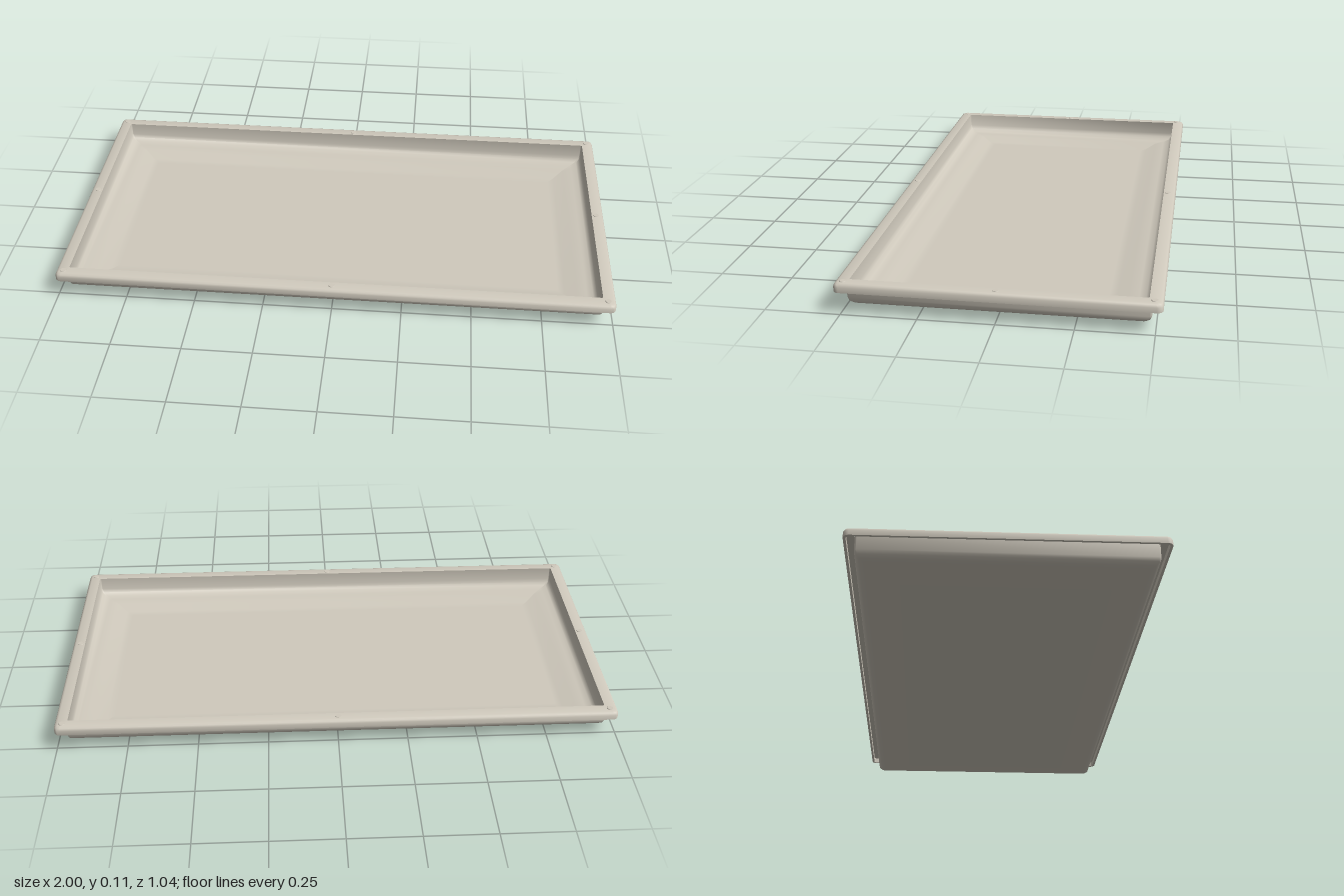
import * as THREE from 'three';
import { toCreasedNormals } from 'three/addons/utils/BufferGeometryUtils.js';

const HX = 1, HZ = 0.522, CORNER_STEPS = 4;

// Rounded rectangle, inset from the outer rim, at height y
function ring(inset, y, radius) {
  const hx = HX - inset, hz = HZ - inset, points = [];
  const corners = [[1, 1], [-1, 1], [-1, -1], [1, -1]];
  corners.forEach(([sx, sz], c) => {
    for (let k = 0; k <= CORNER_STEPS; k++) {
      const a = (c + k / CORNER_STEPS) * Math.PI / 2;
      points.push([
        sx * (hx - radius) + radius * Math.cos(a), y,
        sz * (hz - radius) + radius * Math.sin(a),
      ]);
    }
  });
  return points;
}

// Skin consecutive rings; optionally close the first and last with a flat fan
function skin(profile, capStart, capEnd) {
  const rings = profile.map((p) => ring(...p));
  const n = rings[0].length, pos = [];
  const tri = (a, b, c) => pos.push(...a, ...b, ...c);
  const last = rings.length - 1;
  for (let j = 0; j < n; j++) {
    const k = (j + 1) % n;
    if (capStart) tri([0, rings[0][j][1], 0], rings[0][k], rings[0][j]);
    for (let i = 0; i < last; i++) {
      tri(rings[i][j], rings[i][k], rings[i + 1][j]);
      tri(rings[i][k], rings[i + 1][k], rings[i + 1][j]);
    }
    if (capEnd) tri([0, rings[last][j][1], 0], rings[last][j], rings[last][k]);
  }
  const g = new THREE.BufferGeometry();
  g.setAttribute('position', new THREE.Float32BufferAttribute(pos, 3));
  return toCreasedNormals(g, 0.75);
}

export function createModel() {
  const group = new THREE.Group();
  const putty = new THREE.MeshStandardMaterial({ color: 0xd0cabd });
  putty.name = 'putty';
  const add = (name, geometry) => {
    const mesh = new THREE.Mesh(geometry, putty);
    mesh.name = name;
    group.add(mesh);
    return mesh;
  };

  // Inside: recessed floor, shallow step, rounded foot and upright wall
  add('basinInside', skin([
    [0.185, 0.010, 0.008], [0.16, 0.010, 0.008], [0.12, 0.026, 0.008],
    [0.085, 0.027, 0.008], [0.062, 0.031, 0.007], [0.05, 0.041, 0.006],
    [0.045, 0.055, 0.005], [0.045, 0.105, 0.005],
  ], true, false));

  // Folded lip with a hollow underside
  add('rim', skin([
    [0.045, 0.105, 0.005], [0.012, 0.105, 0.012], [0.004, 0.101, 0.018],
    [0, 0.093, 0.02], [0, 0.075, 0.02], [0.009, 0.075, 0.012],
    [0.009, 0.095, 0.012], [0.035, 0.095, 0.01],
  ], false, false));

  // Outside of the basin, ending in the flat base
  add('basinOutside', skin([
    [0.035, 0.095, 0.012], [0.035, 0.045, 0.012], [0.039, 0.031, 0.012],
    [0.05, 0.021, 0.012], [0.068, 0.017, 0.012], [0.12, 0.016, 0.01],
    [0.16, 0, 0.008], [0.185, 0, 0.008],
  ], false, true));

  // Tiny round pads on the rim at corners and mid-sides
  const padGeometry = new THREE.CylinderGeometry(0.01, 0.012, 0.004, 16);
  for (const x of [-1, 0, 1]) {
    for (const z of [-1, 0, 1]) {
      if (x === 0 && z === 0) continue;
      add('rimPad', padGeometry).position.set(x * 0.972, 0.105, z * 0.494);
    }
  }
  return group;
}
